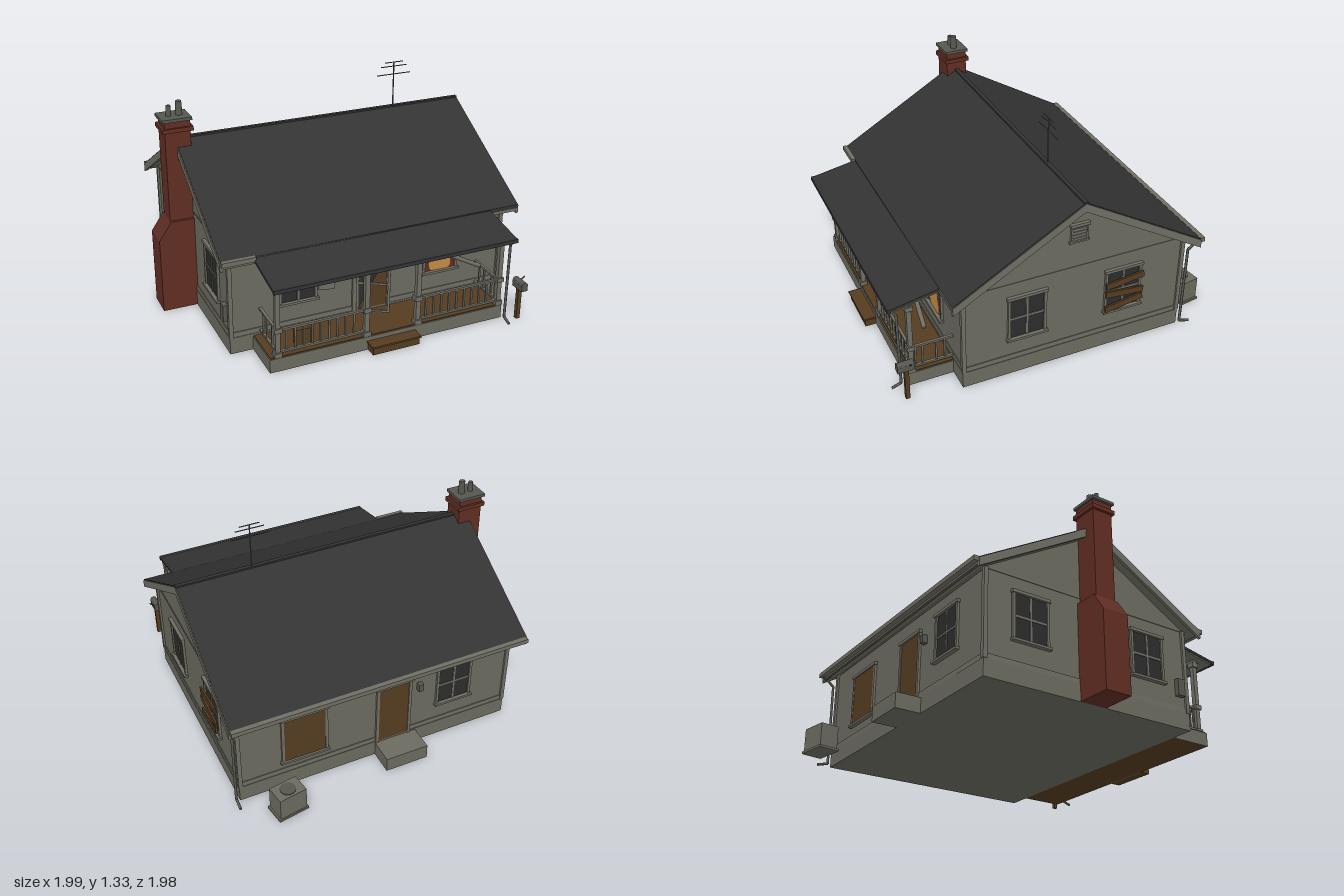
import * as THREE from 'three';

const mat = (name, color, side = THREE.FrontSide) => {
  const m = new THREE.MeshStandardMaterial({ color, side });
  m.name = name;
  return m;
};

export function createModel() {
  const M = {
    wall: mat('weathered siding', 0x6b6b60),
    trim: mat('faded trim', 0x706f65),
    roof: mat('dark shingles', 0x333333),
    brick: mat('brick', 0x602d23),
    wood: mat('brown wood', 0x553c20),
    glass: mat('dark glass', 0x2c2c2d, THREE.DoubleSide),
    metal: mat('dull metal', 0x565750),
    glow: mat('lamp glow', 0xc48c46),
    flag: mat('red paint', 0x7a2c24),
  };
  const house = new THREE.Group();
  house.name = 'house';

  const add = (name, geo, m, parent = house) => {
    const mesh = new THREE.Mesh(geo, m);
    mesh.name = name;
    parent.add(mesh);
    return mesh;
  };
  // Box given by its minimum and maximum on each axis
  const box = (name, x0, x1, y0, y1, z0, z1, m, parent) => {
    const mesh = add(name, new THREE.BoxGeometry(x1 - x0, y1 - y0, z1 - z0), m, parent);
    mesh.position.set((x0 + x1) / 2, (y0 + y1) / 2, (z0 + z1) / 2);
    return mesh;
  };
  // Outline of [z, y] points extruded from x0 to x1
  const prism = (name, pts, x0, x1, m) => {
    const s = new THREE.Shape(pts.map((p) => new THREE.Vector2(...p)));
    const g = new THREE.ExtrudeGeometry(s, { depth: x1 - x0, bevelEnabled: false });
    g.rotateY(-Math.PI / 2).translate(x1, 0, 0);
    return add(name, g, m);
  };
  const pole = (name, a, b, r, m, sides = 8, parent) => {
    const p = new THREE.Vector3(...a), q = new THREE.Vector3(...b);
    const mesh = add(name, new THREE.CylinderGeometry(r, r, p.distanceTo(q), sides), m, parent);
    mesh.position.copy(p).lerp(q, 0.5);
    mesh.quaternion.setFromUnitVectors(new THREE.Vector3(0, 1, 0), q.sub(p).normalize());
    return mesh;
  };
  const pipe = (name, pts, r) => {
    for (let i = 0; i + 1 < pts.length; i++) pole(name, pts[i], pts[i + 1], r, M.metal);
  };

  // Body
  const L = -0.785, R = 0.925, F = 0.61, B = -0.74, C = -0.065;
  box('foundation', L - 0.008, R + 0.008, 0, 0.1, B - 0.008, F + 0.008, M.wall);
  prism('walls', [[F, 0.1], [F, 0.615], [C, 1.008], [B, 0.615], [B, 0.1]], L, R, M.wall);
  box('baseBoard', L - 0.005, R + 0.005, 0.1, 0.13, B - 0.005, F + 0.005, M.trim);
  box('frieze', L - 0.004, R + 0.004, 0.605, 0.614, B - 0.004, F + 0.004, M.trim);
  for (const x of [L, R]) for (const z of [B, F])
    box('cornerBoard', x - 0.012, x + 0.012, 0.1, 0.61, z - 0.012, z + 0.012, M.trim);

  // Main roof: shingles over a pale deck, with boards along the gable ends
  const slab = (top, t, over) => {
    const e = 0.755 + over, y = top - 0.583 * e;
    return [[C - e, y], [C, top], [C + e, y], [C + e, y - t], [C, top - t], [C - e, y - t]].reverse();
  };
  prism('roofShingles', slab(1.055, 0.024, 0), -0.853, 0.988, M.roof);
  prism('roofDeck', slab(1.0315, 0.022, -0.004), -0.848, 0.983, M.trim);
  for (const x of [-0.858, 0.975]) prism('bargeBoard', slab(1.05, 0.05, 0), x, x + 0.018, M.trim);
  box('ridgeCap', -0.855, 0.99, 1.046, 1.058, C - 0.012, C + 0.012, M.roof);
  box('frontFascia', -0.853, 0.988, 0.578, 0.615, 0.672, 0.69, M.trim);
  box('frontGutter', -0.853, -0.66, 0.595, 0.622, 0.688, 0.712, M.trim);
  box('backFascia', -0.853, 0.988, 0.578, 0.615, -0.82, -0.802, M.trim);
  box('backGutter', -0.85, 0.985, 0.59, 0.617, -0.848, -0.82, M.trim);

  // Chimney
  const stack = new THREE.Shape([[-1, 0], [-0.785, 0], [-0.785, 0.57], [-0.925, 0.57], [-1, 0.46]]
    .map((p) => new THREE.Vector2(...p)));
  add('chimneyBase', new THREE.ExtrudeGeometry(stack, { depth: 0.165, bevelEnabled: false }), M.brick)
    .position.z = -0.148;
  box('chimneyStack', -0.925, -0.775, 0.5, 1.175, -0.13, 0, M.brick);
  box('chimneyBand', -0.94, -0.76, 1.11, 1.135, -0.143, 0.013, M.brick);
  box('chimneyCap', -0.94, -0.765, 1.172, 1.19, -0.14, 0.01, M.metal);
  [[-0.88, 1.25, 0.016], [-0.82, 1.27, 0.021]].forEach(([x, y, r]) => {
    const pot = add('chimneyPot', new THREE.CylinderGeometry(r * 0.85, r, y - 1.185, 12), M.metal);
    pot.position.set(x, (y + 1.185) / 2, C);
  });

  // Aerial
  pole('aerialMast', [0.54, 1.04, C], [0.54, 1.33, C], 0.004, M.metal);
  [[1.33, 0.06], [1.305, 0.085], [1.255, 0.113]].forEach(([y, h]) =>
    pole('aerialBar', [0.54 - h, y, C], [0.54 + h, y, C], 0.003, M.metal, 6));

  // Openings are built facing +z and then turned to their wall
  const onWall = (name, x, y, z, turn) => {
    const g = new THREE.Group();
    g.name = name;
    g.position.set(x, y, z);
    g.rotation.y = turn;
    house.add(g);
    return g;
  };
  const frame = (g, w, y0, y1, t = 0.016) => {
    for (const s of [-1, 1]) box('casing', s * (w + t / 2) - t / 2, s * (w + t / 2) + t / 2, y0, y1, 0, 0.014, M.trim, g);
    box('headTrim', -w - t - 0.006, w + t + 0.006, y1, y1 + 0.018, 0, 0.02, M.trim, g);
  };
  const makeWindow = (x, z, turn, pane = M.glass) => {
    const g = onWall('window', x, 0.38, z, turn), w = 0.1, h = 0.13;
    box('pane', -w, w, -h, h, 0, 0.005, pane, g);
    frame(g, w, -h, h);
    box('sill', -w - 0.024, w + 0.024, -h - 0.014, -h, 0, 0.026, M.trim, g);
    box('mullion', -0.006, 0.006, -h, h, 0, 0.009, M.trim, g);
    box('rail', -w, w, -0.006, 0.006, 0, 0.009, M.trim, g);
    return g;
  };
  const Q = Math.PI / 2;
  makeWindow(-0.385, F, 0);
  makeWindow(R, 0.235, Q);
  const boarded = makeWindow(R, -0.36, Q);
  makeWindow(L, 0.33, -Q);
  makeWindow(L, -0.46, -Q);
  makeWindow(-0.425, B, Math.PI);

  // Boards nailed over the side window
  [[0.065, 0.12], [-0.015, -0.1], [-0.09, 0.16]].forEach(([y, tilt]) => {
    const b = box('nailedBoard', -0.12, 0.12, y - 0.02, y + 0.02, 0.022, 0.034, M.wood, boarded);
    b.rotation.z = tilt;
  });

  // Lit window with red curtains
  const lit = makeWindow(0.52, F, 0, M.brick);
  const rag = new THREE.Shape(new THREE.SplineCurve([[-0.06, -0.125], [-0.075, -0.08], [-0.05, -0.02], [-0.075, 0.05],
    [-0.06, 0.1], [0, 0.112], [0.06, 0.1], [0.07, 0.05], [0.05, -0.01], [0.07, -0.07], [0.06, -0.125], [0, -0.128],
    [-0.06, -0.125]].map((p) => new THREE.Vector2(...p))).getPoints(48));
  add('lampLight', new THREE.ShapeGeometry(rag), M.glow, lit).position.z = 0.0095;

  // Loose shutter
  box('looseShutter', -0.25, -0.15, 0.285, 0.475, F + 0.005, F + 0.02, M.trim).rotation.z = -0.2;

  // Front door with a torn screen door standing ajar
  const door = onWall('frontDoor', 0.07, 0, F, 0);
  box('doorLeaf', -0.1, 0.1, 0.1, 0.5, 0, 0.009, M.wood, door);
  frame(door, 0.1, 0.09, 0.5, 0.02);
  const screen = onWall('screenDoor', -0.03, 0, F + 0.018, -0.55);
  for (const x of [0, 0.18]) box('screenStile', x, x + 0.014, 0.11, 0.49, 0, 0.01, M.trim, screen);
  for (const y of [0.11, 0.285, 0.478]) box('screenRail', 0, 0.19, y, y + 0.012, 0, 0.01, M.trim, screen);
  const torn = new THREE.Shape([[0.012, 0.12], [0.17, 0.48], [0.012, 0.48]].map((p) => new THREE.Vector2(...p)));
  add('tornMesh', new THREE.ShapeGeometry(torn), M.glass, screen).position.z = 0.005;

  // Back door, boarded opening, lamp and step
  const back = onWall('backDoor', -0.03, 0, B, Math.PI);
  box('doorLeaf', -0.095, 0.095, 0.1, 0.49, 0, 0.009, M.wood, back);
  frame(back, 0.095, 0.09, 0.49, 0.018);
  const ply = onWall('boardedOpening', 0.53, 0, B, Math.PI);
  box('plywood', -0.125, 0.125, 0.19, 0.49, 0, 0.012, M.wood, ply);
  frame(ply, 0.125, 0.19, 0.49);
  box('sill', -0.15, 0.15, 0.176, 0.19, 0, 0.024, M.trim, ply);
  box('backLamp', -0.21, -0.18, 0.4, 0.45, B - 0.03, B, M.metal);
  box('backStep', -0.18, 0.085, 0, 0.09, -0.9, B, M.wall);

  // Cooling unit on a skewed pad
  const unit = onWall('coolingUnit', 0.71, 0, -0.915, 0.16);
  box('pad', -0.095, 0.095, 0, 0.014, -0.065, 0.065, M.wall, unit);
  box('casing', -0.085, 0.085, 0.014, 0.152, -0.058, 0.058, M.wall, unit);
  const fan = add('fanGrille', new THREE.CylinderGeometry(0.045, 0.045, 0.006, 20), M.metal, unit);
  fan.position.y = 0.154;

  // Gable vents
  for (const [x, t] of [[R, Q], [L, -Q]]) {
    const v = onWall('gableVent', x, 0.835, C, t);
    box('ventPanel', -0.045, 0.045, -0.045, 0.045, 0, 0.008, M.wall, v);
    frame(v, 0.042, -0.05, 0.045, 0.01);
    box('ventSill', -0.06, 0.06, -0.058, -0.048, 0, 0.014, M.trim, v);
    for (let i = 0; i < 4; i++) box('louvre', -0.042, 0.042, -0.034 + i * 0.02, -0.028 + i * 0.02, 0, 0.012, M.trim, v);
  }

  // Porch floor, skirt and steps
  const P0 = -0.66, P1 = 0.795, PZ = 0.88;
  box('porchFloor', P0 + 0.006, P1 - 0.006, 0, 0.088, F + 0.008, PZ - 0.006, M.wood);
  box('frontSkirt', P0, P1, 0, 0.082, PZ - 0.008, PZ, M.wall);
  for (const x of [P0, P1 - 0.008]) box('sideSkirt', x, x + 0.008, 0, 0.082, F + 0.008, PZ, M.wall);
  box('stepRiser', -0.075, 0.215, 0, 0.045, PZ, 0.945, M.wood);
  box('stepTread', -0.082, 0.222, 0.045, 0.056, PZ, 0.955, M.wood);

  // Porch roof, beam and gutter
  prism('porchRoof', [[0.64, 0.618], [0.96, 0.556], [0.96, 0.54], [0.64, 0.602]], -0.67, 0.802, M.roof);
  prism('porchSoffit', [[0.64, 0.602], [0.955, 0.541], [0.955, 0.531], [0.64, 0.592]], -0.665, 0.797, M.trim);
  box('porchBeam', P0 + 0.03, P1 - 0.01, 0.53, 0.556, 0.848, 0.872, M.trim);
  box('porchGutter', -0.67, 0.802, 0.534, 0.557, 0.96, 0.982, M.roof);

  // Porch posts
  for (const x of [-0.61, -0.08, 0.24, 0.775]) {
    box('porchPost', x - 0.014, x + 0.014, 0.085, 0.54, 0.846, 0.874, M.trim);
    for (const y of [0.085, 0.235, 0.505])
      box('postBlock', x - 0.022, x + 0.022, y, y + 0.028, 0.838, 0.882, M.trim);
  }
  // Railings, along the front and back to the wall
  for (const [a, b] of [[-0.6, -0.09], [0.25, 0.765]]) {
    for (const y of [0.105, 0.24]) box('rail', a, b, y, y + 0.012, 0.852, 0.868, M.trim);
    for (let x = a + 0.045; x < b - 0.02; x += 0.05) box('baluster', x - 0.005, x + 0.005, 0.105, 0.245, 0.855, 0.865, M.trim);
  }
  for (const x of [-0.61, 0.775]) {
    for (const y of [0.105, 0.24]) box('sideRail', x - 0.008, x + 0.008, y, y + 0.012, F, 0.85, M.trim);
    for (const z of [0.66, 0.71, 0.79, 0.83]) box('baluster', x - 0.005, x + 0.005, 0.105, 0.245, z - 0.005, z + 0.005, M.trim);
  }
  box('crate', -0.48, -0.395, 0.088, 0.182, 0.77, 0.81, M.wood);

  // Fallen length of gutter and downpipes
  pole('fallenGutter', [0.14, 0.595, 0.705], [0.71, 0.298, 0.75], 0.013, M.trim, 6);
  pipe('porchDownpipe', [[0.788, 0.54, 0.965], [0.788, 0.5, 0.93], [0.788, 0.03, 0.925], [0.788, 0.01, 0.98]], 0.008);
  pipe('backDownpipe', [[0.957, 0.595, -0.83], [0.957, 0.54, -0.76], [0.957, 0.03, -0.755], [0.957, 0.012, -0.82]], 0.008);
  box('meterBox', L - 0.03, L, 0.19, 0.29, 0.53, 0.58, M.metal);

  // Post box
  box('mailPost', 0.868, 0.892, 0, 0.2, 0.91, 0.934, M.wood);
  box('mailBox', 0.86, 0.9, 0.2, 0.236, 0.88, 0.975, M.metal);
  const lid = add('mailBoxTop', new THREE.CylinderGeometry(0.02, 0.02, 0.095, 14), M.metal);
  lid.rotation.x = Q;
  lid.position.set(0.88, 0.236, 0.9275);
  pole('mailFlag', [0.898, 0.235, 0.905], [0.925, 0.258, 0.905], 0.004, M.flag, 6);

  return house;
}
